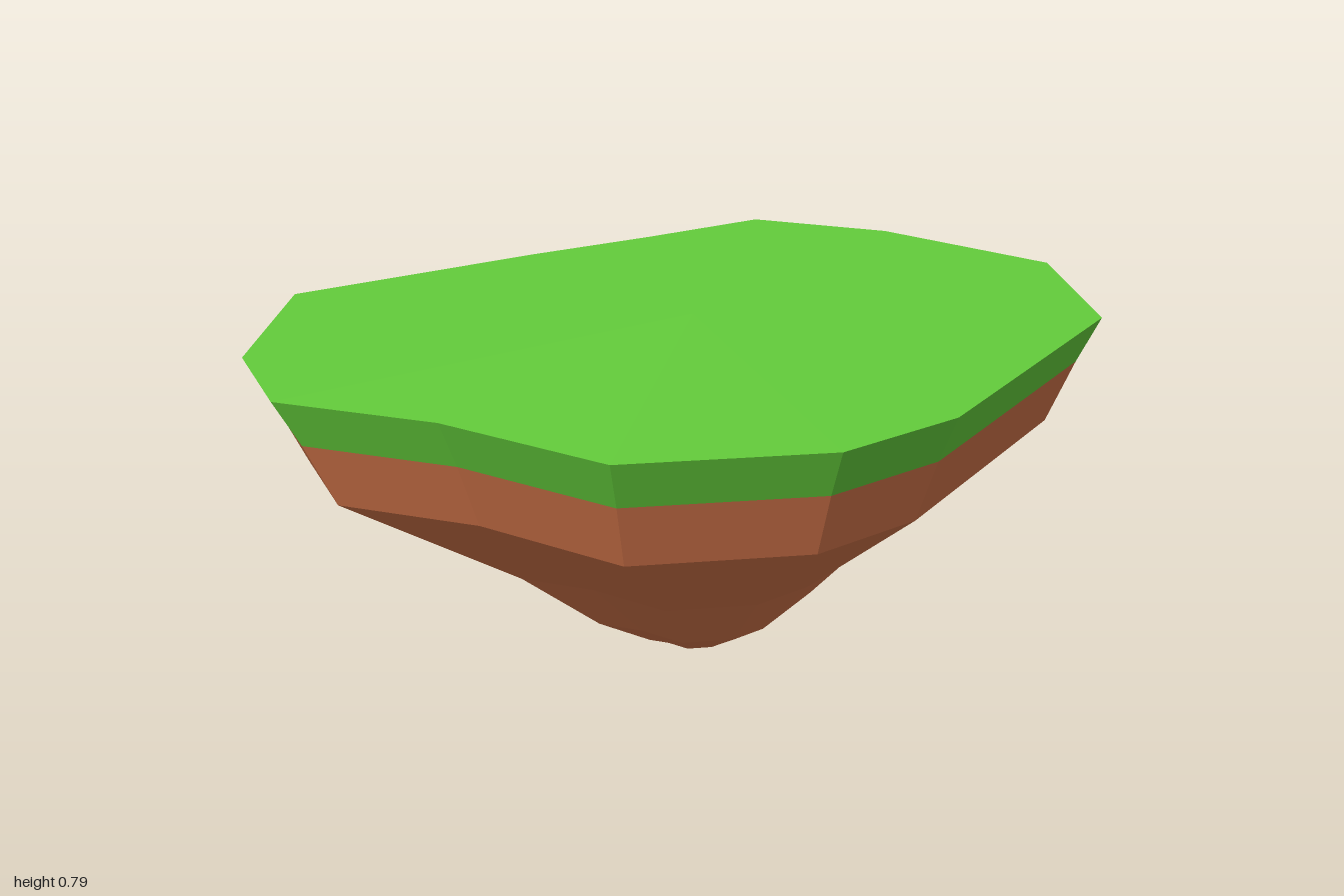
import * as THREE from 'three';

// Island outline [x, z], running back, left, front, right
const outline = [
  [-0.18, -1], [0.34, -0.99], [0.7, -0.63], [0.84, 0.17], [0.79, 0.47], [0.52, 0.8], [0.12, 0.86],
  [-0.22, 1], [-0.51, 0.87], [-0.85, 0.49], [-0.71, -0.17], [-0.62, -0.51], [-0.54, -0.87],
];

// A cross-section is the outline scaled, shifted and set at a height
const ring = (y, scale, dx = 0, dz = 0) =>
  outline.map(([x, z]) => [x * scale + dx, y, z * scale + dz]);

// Skins a stack of rings from top to bottom, with optional cap centres
function skin(name, color, rings, topCentre, bottomCentre) {
  const pos = [];
  const tri = (...corners) => corners.forEach((c) => pos.push(...c));
  const n = outline.length;
  const first = rings[0];
  const last = rings[rings.length - 1];
  for (let i = 0; i < n; i++) {
    const j = (i + 1) % n;
    for (let r = 0; r < rings.length - 1; r++) {
      const a = rings[r];
      const b = rings[r + 1];
      tri(a[i], a[j], b[j]);
      tri(a[i], b[j], b[i]);
    }
    if (topCentre) tri(topCentre, first[j], first[i]);
    if (bottomCentre) tri(bottomCentre, last[i], last[j]);
  }
  const geometry = new THREE.BufferGeometry();
  geometry.setAttribute('position', new THREE.Float32BufferAttribute(pos, 3));
  geometry.computeVertexNormals();
  const mesh = new THREE.Mesh(geometry, new THREE.MeshStandardMaterial({ color, flatShading: true }));
  mesh.name = name;
  return mesh;
}

export function createModel() {
  const group = new THREE.Group();
  group.name = 'floatingIsland';
  const seam = ring(0.675, 0.945);

  // Grass slab with a slightly domed top
  group.add(skin('grass', 0x63cc3b, [ring(0.78, 1), seam], [0, 0.79, 0]));

  // Soil band and the tapering underside
  group.add(skin('soil', 0xcc7147, [
    seam,
    ring(0.53, 0.88),
    ring(0.255, 0.475, 0.015),
    ring(0.09, 0.285, 0.025),
    ring(0.008, 0.135, 0.025, 0.015),
  ], null, [0, 0, 0.01]));

  return group;
}
